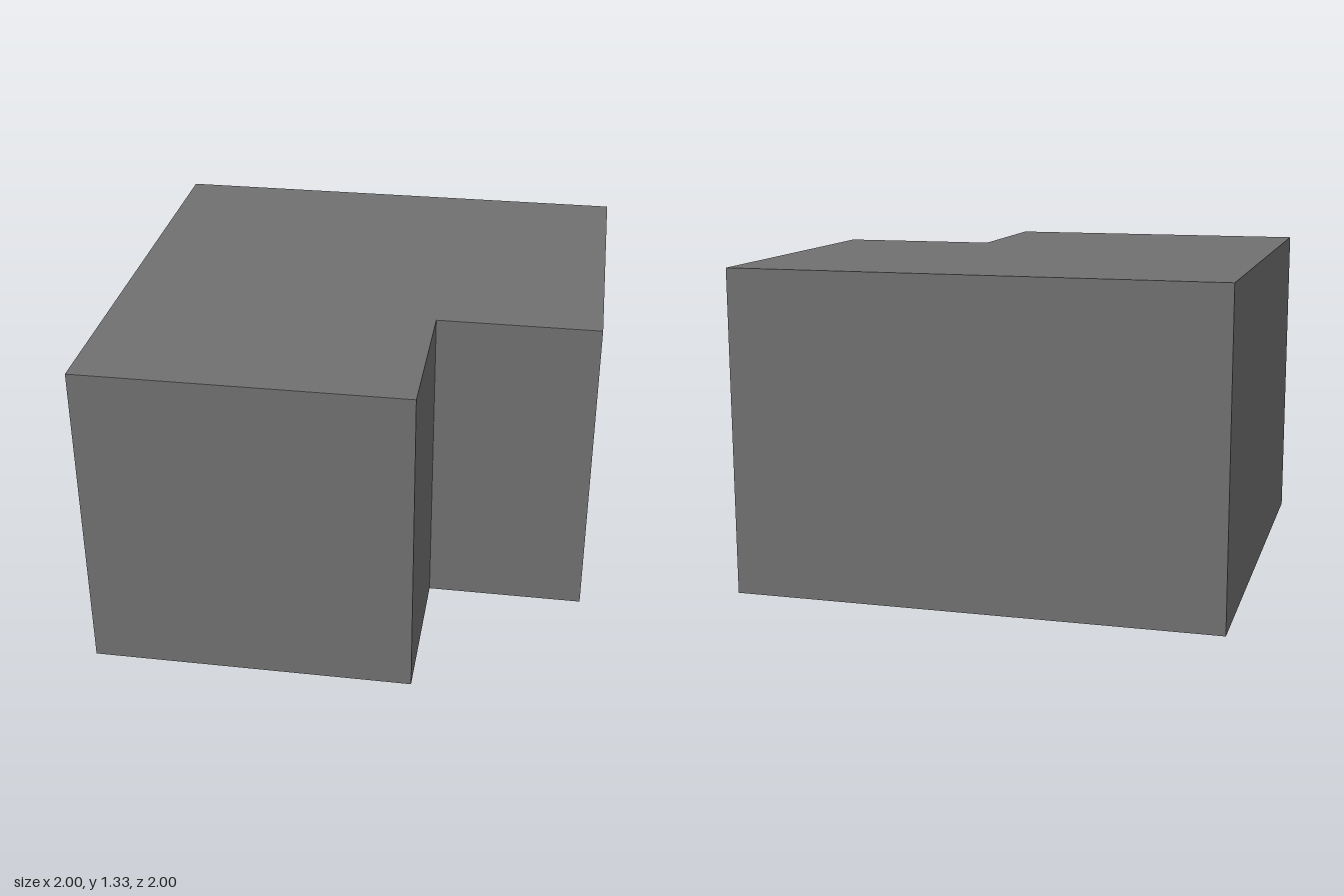
import * as THREE from 'three';

const HEIGHT = 4 / 3;
const NOTCH = 1 / 3; // inner corner of the cut-out, in x and z

export function createModel() {
  const group = new THREE.Group();
  group.name = 'notchedBlock';

  // Square footprint with the front left corner cut away (plan y = -z)
  const footprint = new THREE.Shape([
    [-1, -1], [NOTCH, -1], [NOTCH, -NOTCH], [1, -NOTCH], [1, 1], [-1, 1],
  ].map(([x, y]) => new THREE.Vector2(x, y)));

  // Raise the footprint straight up from the ground
  const geometry = new THREE.ExtrudeGeometry(footprint, { depth: HEIGHT, bevelEnabled: false });
  geometry.rotateX(-Math.PI / 2);

  // Dark grey block
  const block = new THREE.Mesh(
    geometry,
    new THREE.MeshStandardMaterial({ color: 0x707070 }),
  );
  block.name = 'block';
  group.add(block);
  return group;
}
